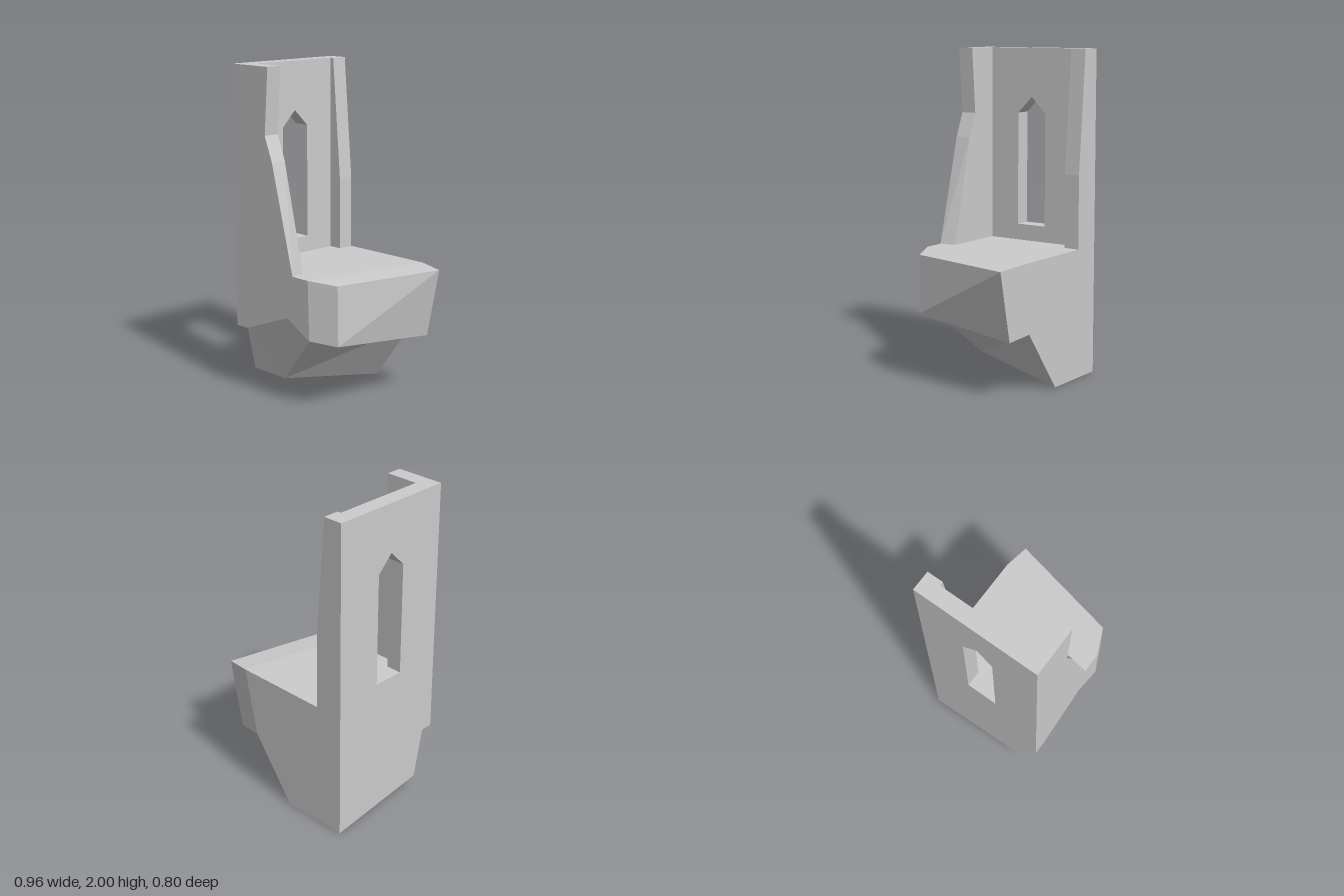
import * as THREE from 'three';

const material = new THREE.MeshStandardMaterial({ color: 0xcccccc, flatShading: true });

function addMesh(group, name, geometry) {
  const mesh = new THREE.Mesh(geometry, material);
  mesh.name = name;
  group.add(mesh);
}

// Faceted solid: named corners, each face a string of corner names (fanned from its first corner)
function facetedSolid(corners, faces) {
  const positions = [];
  for (const face of faces) {
    for (let i = 1; i < face.length - 1; i++) {
      for (const key of [face[0], face[i], face[i + 1]]) positions.push(...corners[key]);
    }
  }
  const geometry = new THREE.BufferGeometry();
  geometry.setAttribute('position', new THREE.Float32BufferAttribute(positions, 3));
  geometry.computeVertexNormals();
  return geometry;
}

function extrude(points, depth, holePoints) {
  const toVectors = (list) => list.map(([x, y]) => new THREE.Vector2(x, y));
  const shape = new THREE.Shape(toVectors(points));
  if (holePoints) shape.holes.push(new THREE.Path(toVectors(holePoints)));
  return new THREE.ExtrudeGeometry(shape, { depth, bevelEnabled: false });
}

export function createModel() {
  const group = new THREE.Group();
  group.name = 'balconyTower';

  // Balcony floor with its tapering corbel underneath
  const corners = {
    // floor rim
    L: [-0.48, 0.8, -0.4], P: [-0.48, 0.8, 0.4], N: [0.16, 0.8, 0.4], M: [0.32, 0.8, -0.4],
    // outer lip, upper and lower
    S: [0.33, 0.785, 0.325], T: [0.48, 0.785, -0.375],
    J: [0.335, 0.425, 0.325], I: [0.39, 0.36, -0.375],
    // lower edge of the front side
    O: [-0.48, 0.4, 0.4], F: [-0.39, 0.4, 0.4], E: [-0.02, 0.54, 0.4], D: [0.17, 0.44, 0.4],
    // corbel
    A: [-0.48, 0.4, 0.325], B: [-0.48, 0.09, 0.26], C: [-0.2, 0.09, 0.26],
    G: [-0.05, 0, -0.4], K: [-0.48, 0, -0.4], H: [0.23, 0.38, -0.4],
  };
  const faces = [
    'LPNM', 'NSTM',         // floor and sloping edge
    'DJSN', 'JITS', 'IHMT', // lip
    'DHIJ', 'CGHD', 'BKGC', // undersides
    'EDNPOF', 'CDEAB',      // front and lower front
    'AFO', 'AEF',           // small ledge
    'AOPLKB', 'GKLMH',      // flat sides
  ];
  addMesh(group, 'balconyBase', facetedSolid(corners, faces));

  // Tall wall with a pointed window
  const wall = extrude(
    [[-0.4, 0.8], [0.4, 0.8], [0.4, 2], [-0.4, 2]], 0.1,
    [[-0.1, 0.9], [-0.1, 1.6], [0, 1.7], [0.1, 1.6], [0.1, 0.9]],
  );
  wall.rotateY(-Math.PI / 2).translate(-0.38, 0, 0);
  addMesh(group, 'windowWall', wall);

  // Broad front side wall with a broken edge
  const frontWall = extrude(
    [[-0.38, 0.8], [0.03, 0.8], [-0.14, 1.45], [-0.2, 1.6], [-0.17, 2], [-0.38, 2]], 0.1,
  ).translate(0, 0, 0.3);
  const position = frontWall.attributes.position;
  for (let i = 0; i < position.count; i++) {
    // the foot of the edge is slightly skewed inside
    if (position.getX(i) > 0 && position.getZ(i) < 0.35) position.setX(i, 0.01);
  }
  frontWall.computeVertexNormals();
  addMesh(group, 'frontSideWall', frontWall);

  // Narrow rear side wall
  addMesh(group, 'rearSideWall', extrude(
    [[-0.38, 0.8], [-0.295, 0.8], [-0.295, 1.25], [-0.355, 2], [-0.38, 2]], 0.1,
  ).translate(0, 0, -0.4));

  return group;
}
